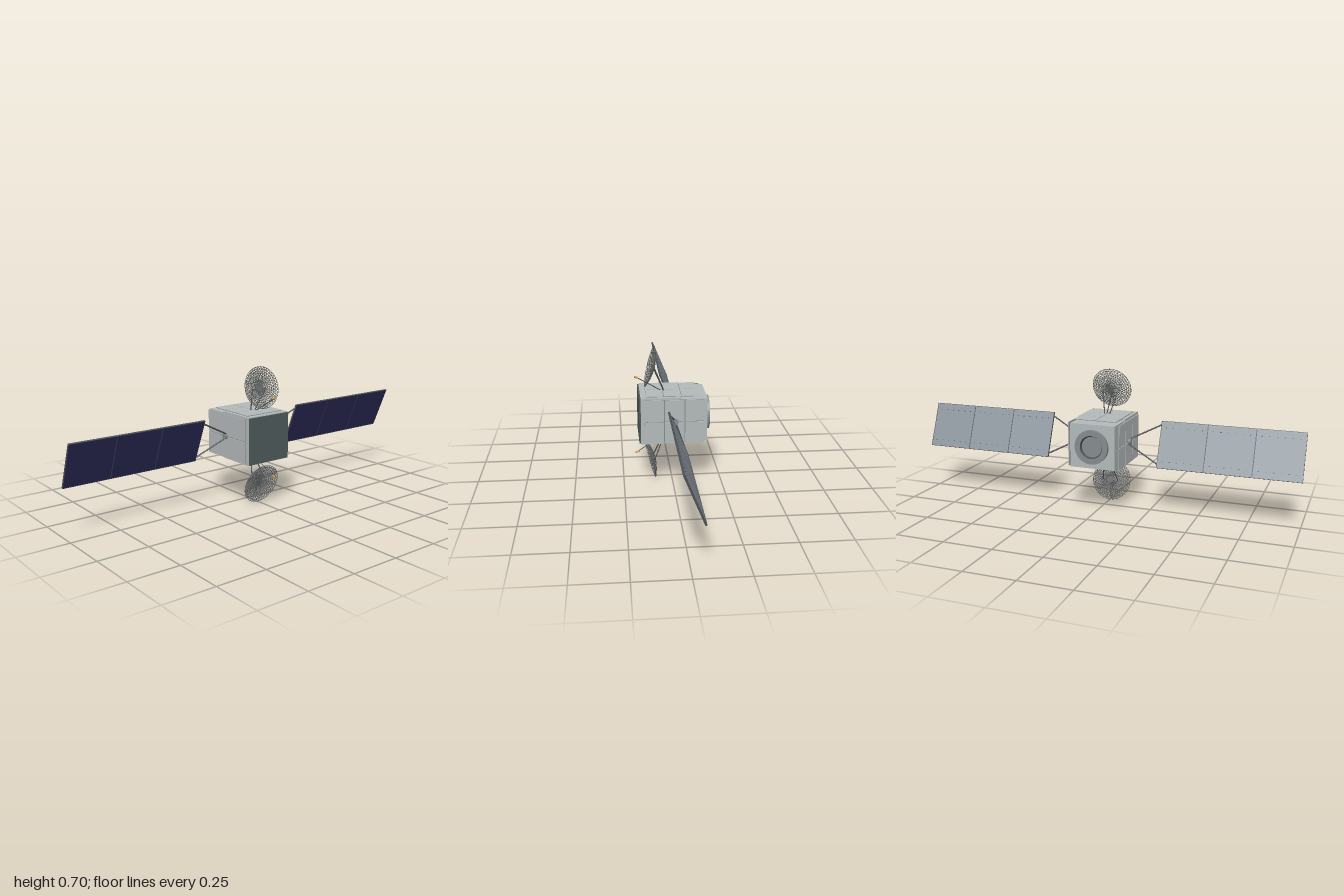
import * as THREE from 'three';
import { mergeGeometries } from 'three/addons/utils/BufferGeometryUtils.js';

const mat = (name, color, side = THREE.FrontSide) => {
  const m = new THREE.MeshStandardMaterial({ color, side });
  m.name = name;
  return m;
};
const V = (x, y, z) => new THREE.Vector3(x, y, z);

// Geometry of a round bar between two points
function barGeo(a, b, r, sides = 6) {
  const d = b.clone().sub(a);
  const g = new THREE.CylinderGeometry(r, r, d.length(), sides, 1);
  g.applyQuaternion(new THREE.Quaternion().setFromUnitVectors(V(0, 1, 0), d.normalize()));
  const c = a.clone().add(b).multiplyScalar(0.5);
  return g.translate(c.x, c.y, c.z);
}

export function createModel() {
  const body = mat('body grey', 0xb4baba);
  const trim = mat('trim grey', 0x858c8e);
  const dark = mat('front slate', 0x4e5a5a);
  const strut = mat('strut grey', 0x4a5054);
  const mesh = mat('dish grey', 0x666b6b);
  const cell = mat('cell blue', 0x2b2b58);
  const back = mat('array back grey', 0x89929a);
  const gold = mat('feed gold', 0xd09a3c);

  const root = new THREE.Group();
  root.name = 'satellite';
  const CY = 0.353;

  const add = (name, geo, m, parent = root) => {
    const o = new THREE.Mesh(geo, m);
    o.name = name;
    parent.add(o);
    return o;
  };
  const box = (name, w, h, d, x, y, z, m, parent) =>
    add(name, new THREE.BoxGeometry(w, h, d).translate(x, y, z), m, parent);
  const bar = (name, a, b, r, m, parent) => add(name, barGeo(a, b, r), m, parent);

  // Stepped body and front plate
  box('frontBody', 0.25, 0.241, 0.202, 0, CY, 0.061, body);
  box('rearBody', 0.234, 0.222, 0.132, 0, CY, -0.104, body);
  box('frontPlate', 0.246, 0.234, 0.008, 0, CY, 0.166, dark);

  for (const s of [-1, 1]) {
    // Side radiators: three by two tiles over a backing sheet
    box('sideBacking', 0.004, 0.222, 0.29, s * 0.129, CY, -0.005, trim);
    for (let i = 0; i < 3; i++)
      for (const t of [-1, 1])
        box('sideTile', 0.004, 0.11, 0.096, s * 0.133, CY - 0.001 + t * 0.0572, 0.0955 - i * 0.1005, body);
    // Upper and lower radiators
    box('deckBacking', 0.216, 0.002, 0.262, 0, CY + s * 0.1215, 0.003, trim);
    for (let i = 0; i < 3; i++)
      for (const t of [-1, 1])
        box('deckTile', 0.106, 0.002, 0.085, t * 0.0552, CY + s * 0.1235, 0.091 - i * 0.088, body);
  }

  // Rear engine ring with a recessed centre
  const ringProfile = [[0.086, 0], [0.086, 0.018], [0.058, 0.018], [0.052, 0.006], [0, 0.006]];
  const ring = new THREE.Group();
  ring.name = 'engineRing';
  ring.position.set(0, CY, -0.17);
  ring.rotation.x = -Math.PI / 2;
  root.add(ring);
  const [outer, rim, lip, floor, centre] = ringProfile.map(([r, y]) => new THREE.Vector2(r, y));
  add('ringWall', new THREE.LatheGeometry([outer, rim], 40), trim, ring);
  add('ringFace', new THREE.LatheGeometry([rim, lip], 40), trim, ring);
  add('ringBevel', new THREE.LatheGeometry([lip, floor], 40), strut, ring);
  add('ringFloor', new THREE.LatheGeometry([floor, centre], 40), trim, ring);

  // Solar wings, built upright about their axis and then tilted forward
  for (const s of [-1, 1]) {
    const wing = new THREE.Group();
    wing.name = s > 0 ? 'leftWing' : 'rightWing';
    wing.position.set(0, CY, -0.007);
    wing.rotation.x = 0.388;
    root.add(wing);
    for (let i = 0; i < 3; i++) {
      const x = s * (0.4115 + i * 0.2355);
      box('panelCore', 0.233, 0.235, 0.005, x, 0, 0, back, wing);
      box('cellSheet', 0.231, 0.233, 0.002, x, 0, 0.0033, cell, wing);
      for (const t of [-1, 1]) {
        box('panelEdge', 0.233, 0.002, 0.009, x, t * 0.118, 0, strut, wing);
        for (let k = 0; k < 6; k++)
          box('backStud', 0.006, 0.003, 0.002, x - 0.09 + k * 0.036, t * 0.085, -0.0032, strut, wing);
      }
      if (i < 2) box('hingeStrip', 0.004, 0.235, 0.006, x + s * 0.1178, 0, 0, strut, wing);
    }
    for (const x of [0.2945, 0.9995]) box('endStrip', 0.002, 0.238, 0.009, s * x, 0, 0, strut, wing);
    // Yoke arms
    for (const t of [-1, 1])
      bar('yokeArm', V(s * 0.138, t * 0.014, 0), V(s * 0.296, t * 0.1, 0), 0.004, strut, wing);
    const hub = add('wingHub', new THREE.CylinderGeometry(0.016, 0.016, 0.014, 8), trim);
    hub.rotation.z = Math.PI / 2;
    hub.position.set(s * 0.14, CY, -0.006);
  }

  // Open lattice bowl, opening along +y with its rim at y = 0
  const R = 0.104, N = 36, RINGS = 8, DEPTH = 0.024;
  const node = (i, j) => {
    const r = 0.018 + (R - 0.018) * i / RINGS;
    const a = (j + i / 2) * 2 * Math.PI / N;
    return V(r * Math.cos(a), DEPTH * ((r / R) ** 2 - 1), r * Math.sin(a));
  };
  const wires = [];
  for (let i = 0; i <= RINGS; i++)
    for (let j = 0; j < N; j++) {
      wires.push(barGeo(node(i, j), node(i, j + 1), 0.0016, 4));
      if (i === RINGS) continue;
      wires.push(barGeo(node(i, j), node(i + 1, j), 0.0015, 3));
      wires.push(barGeo(node(i, j), node(i + 1, j - 1), 0.0015, 3));
    }
  const lattice = mergeGeometries(wires);

  // Upper and lower antennas
  for (const s of [-1, 1]) {
    const antenna = new THREE.Group();
    antenna.name = s > 0 ? 'upperAntenna' : 'lowerAntenna';
    root.add(antenna);
    const dish = new THREE.Group();
    dish.name = 'dish';
    dish.position.set(0, CY + s * 0.248, 0.11);
    dish.rotation.x = Math.PI / 2 - s * 0.264;
    antenna.add(dish);
    add('dishLattice', lattice, mesh, dish);
    add('dishCentre', new THREE.CylinderGeometry(0.019, 0.017, 0.003, 24).translate(0, -DEPTH, 0), mesh, dish);
    for (const t of [-1, 1])
      bar('dishStrut', V(t * 0.013, CY + s * 0.12, 0.039), V(t * 0.042, CY + s * 0.244, 0.091), 0.0028, strut, antenna);
    const tip = V(0.025, CY + s * 0.197, 0.172);
    bar('feedBoom', V(0.006, CY + s * 0.12, 0.05), tip, 0.0025, strut, antenna);
    bar('feedHorn', V(0.025, CY + s * 0.197, 0.169), V(0.025, CY + s * 0.203, 0.188), 0.0055, gold, antenna);
  }
  return root;
}
